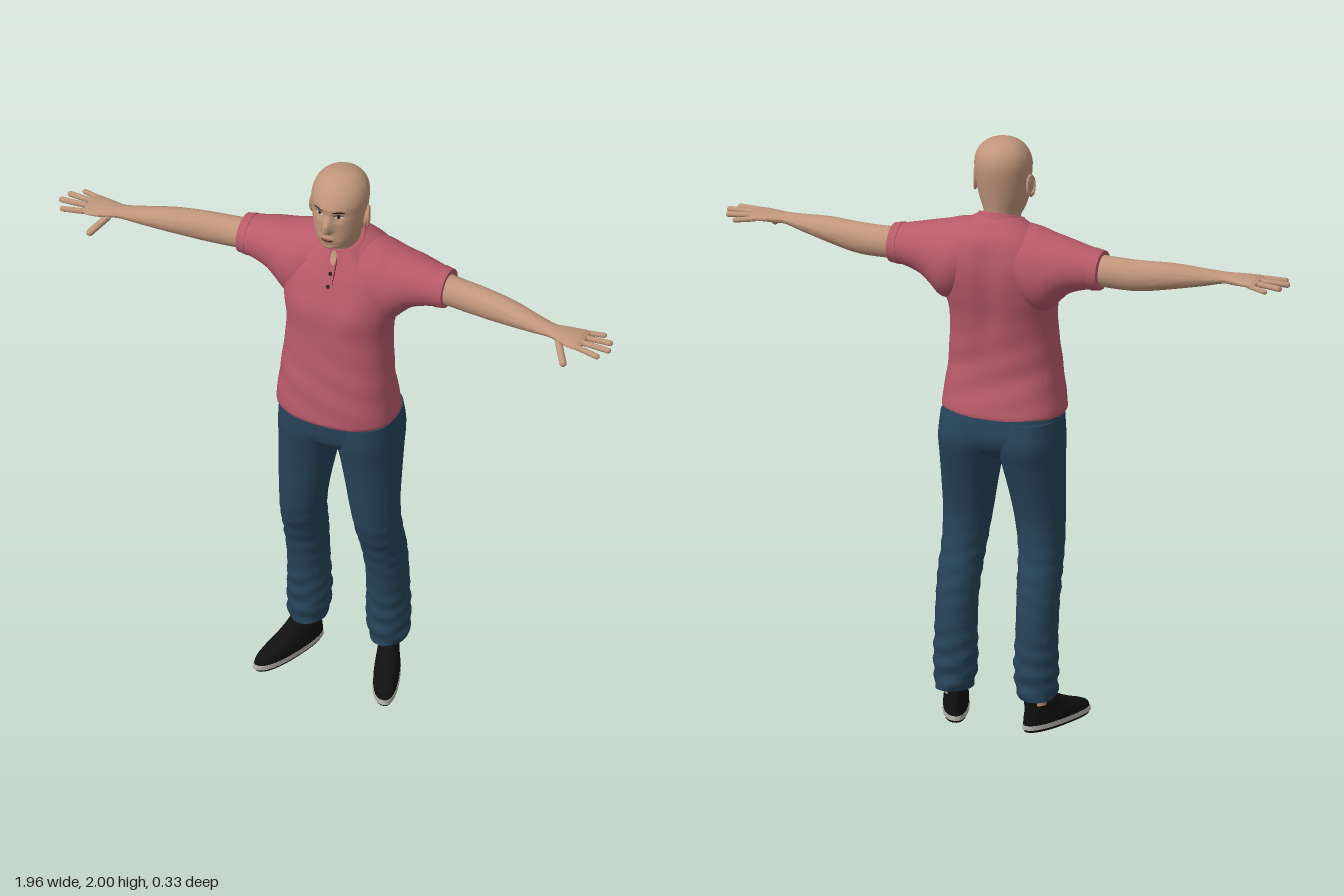
import * as THREE from 'three';
import { toCreasedNormals } from 'three/addons/utils/BufferGeometryUtils.js';

const material = (name, color, side = THREE.FrontSide) => {
  const m = new THREE.MeshStandardMaterial({ color, side });
  m.name = name;
  return m;
};
const skin = material('skin', 0xc0967b);
const shirt = material('shirt red', 0xb85a69, THREE.DoubleSide);
const denim = material('denim blue', 0x27445a);
const black = material('shoe black', 0x111111);
const soleGrey = material('sole grey', 0xb4b2ac);
const eyeWhite = material('eye white', 0xd8d0c8);
const dark = material('dark brown', 0x2b1d18);
const lip = material('lip', 0x9a6257);

const gauss = (v, c, w) => Math.exp(-(((v - c) / w) ** 2));
const smooth = THREE.MathUtils.smoothstep;

function mesh(name, geometry, mat) {
  const m = new THREE.Mesh(geometry, mat);
  m.name = name;
  return m;
}

// Smooth skin over superellipse sections: [position, aMin, aMax, bMin, bMax, exponent].
// Along y: a = x, b = z.  Along x: a = z, b = y.
function loft(rows, { axis = 'y', sides = 40, steps = 4, deform = null } = {}) {
  const at = (i, k) => rows[THREE.MathUtils.clamp(i, 0, rows.length - 1)][k] ?? 2;
  const cr = (p0, p1, p2, p3, t) => p1 + 0.5 * t * (p2 - p0 + t * (2 * p0 - 5 * p1 + 4 * p2 - p3 + t * (3 * (p1 - p2) + p3 - p0)));
  const pos = [], index = [], v = new THREE.Vector3();
  const count = (rows.length - 1) * steps + 1;
  const put = (s, a, b) => {
    axis === 'y' ? v.set(a, s, b) : v.set(s, b, a);
    if (deform) deform(v);
    pos.push(v.x, v.y, v.z);
  };
  const ends = [];
  for (let r = 0; r < count; r++) {
    const i = Math.min(Math.floor(r / steps), rows.length - 2), t = r / steps - i;
    const [s, a0, a1, b0, b1, n] = [0, 1, 2, 3, 4, 5].map(k => cr(at(i - 1, k), at(i, k), at(i + 1, k), at(i + 2, k), t));
    const bend = c => Math.sign(c) * Math.abs(c) ** (2 / n);
    for (let j = 0; j < sides; j++) {
      const q = (j / sides) * Math.PI * 2;
      put(s, (a0 + a1) / 2 + (a1 - a0) / 2 * bend(Math.cos(q)), (b0 + b1) / 2 + (b1 - b0) / 2 * bend(Math.sin(q)));
      const k = r * sides + j, l = r * sides + (j + 1) % sides;
      if (r < count - 1) index.push(k, k + sides, l, l, k + sides, l + sides);
    }
    if (r === 0 || r === count - 1) ends.push([s, (a0 + a1) / 2, (b0 + b1) / 2]);
  }
  ends.forEach(e => put(...e));
  const last = (count - 1) * sides;
  for (let j = 0; j < sides; j++) {
    const l = (j + 1) % sides;
    index.push(count * sides, j, l, count * sides + 1, last + l, last + j);
  }
  const g = new THREE.BufferGeometry();
  g.setAttribute('position', new THREE.Float32BufferAttribute(pos, 3));
  g.setIndex(index);
  return toCreasedNormals(g, 1);
}

// Mirror a mesh across x, keeping faces outward
function mirrored(m, name) {
  m.updateMatrix();
  let g = m.geometry.clone().applyMatrix4(m.matrix).scale(-1, 1, 1);
  if (g.index) g = g.toNonIndexed();
  for (const a of Object.values(g.attributes))
    for (let i = 0; i < a.count; i += 3)
      for (let k = 0; k < a.itemSize; k++) {
        const t = a.getComponent(i, k);
        a.setComponent(i, k, a.getComponent(i + 1, k));
        a.setComponent(i + 1, k, t);
      }
  // applyMatrix4 mirrors positions; normals follow from the same scale
  return mesh(name, toCreasedNormals(g, 1), m.material);
}

// Thin oval laid on the front of another mesh
function patch(name, target, mat, x, y, w, h, { bend = 0, lift = 0.0015 } = {}) {
  const g = new THREE.RingGeometry(0.001, 1, 20, 4), p = g.attributes.position;
  const ray = new THREE.Raycaster();
  for (let i = 0; i < p.count; i++) {
    const px = x + p.getX(i) * w, py = y + p.getY(i) * h - bend * p.getX(i) ** 2;
    ray.set(new THREE.Vector3(px, py, 1), new THREE.Vector3(0, 0, -1));
    const hit = ray.intersectObject(target)[0];
    p.setXYZ(i, px, py, (hit ? hit.point.z : 0) + lift);
  }
  g.computeVertexNormals();
  return mesh(name, g, mat);
}

function capsule(name, a, b, r) {
  const from = new THREE.Vector3(...a), to = new THREE.Vector3(...b), d = to.clone().sub(from);
  const m = mesh(name, new THREE.CapsuleGeometry(r, d.length() - r, 5, 12), skin);
  m.position.copy(from).addScaledVector(d, 0.5);
  m.quaternion.setFromUnitVectors(new THREE.Vector3(0, 1, 0), d.normalize());
  return m;
}

export function createModel() {
  const root = new THREE.Group();
  root.name = 'standing man';
  const sym = rows => rows.map(([y, rx, z0, z1, n = 2]) => [y, -rx, rx, z0, z1, n]);
  const pair = m => {
    const name = m.name;
    m.name = 'left ' + name;
    root.add(m, mirrored(m, 'right ' + name));
  };

  // Head and neck, with nose, brow, eye sockets and lips shaped in
  const head = mesh('head', loft(sym([
    [1.66, 0.06, -0.08, 0.03], [1.72, 0.06, -0.08, 0.045], [1.74, 0.061, -0.08, 0.06], [1.752, 0.064, -0.081, 0.092],
    [1.775, 0.072, -0.083, 0.101], [1.8, 0.08, -0.088, 0.102], [1.84, 0.087, -0.096, 0.102], [1.88, 0.091, -0.103, 0.102],
    [1.92, 0.093, -0.106, 0.098], [1.955, 0.083, -0.098, 0.08], [1.98, 0.062, -0.075, 0.055], [1.993, 0.037, -0.045, 0.028],
    [2, 0.005, -0.01, 0.003]]), { sides: 96, steps: 6, deform: v => {
    if (v.z < 0.02) return;
    const ridge = v.y > 1.832 ? 1 - smooth(v.y, 1.832, 1.9) : smooth(v.y, 1.814, 1.832);
    v.z += 0.03 * ridge * gauss(v.x, 0, 0.014)
      - 0.011 * gauss(Math.abs(v.x), 0.034, 0.018) * gauss(v.y, 1.882, 0.014)
      + 0.004 * gauss(v.y, 1.908, 0.012) * gauss(v.x, 0, 0.06)
      + 0.006 * gauss(v.x, 0, 0.024) * gauss(v.y, 1.79, 0.012)
      + 0.005 * gauss(v.x, 0, 0.025) * gauss(v.y, 1.757, 0.01);
  } }), skin);
  root.add(head);
  for (const [s, side] of [[1, 'left'], [-1, 'right']]) {
    root.add(patch(side + ' eye', head, eyeWhite, s * 0.034, 1.882, 0.014, 0.006),
      patch(side + ' iris', head, dark, s * 0.034, 1.882, 0.0058, 0.0058, { lift: 0.003 }),
      patch(side + ' upper lid', head, dark, s * 0.034, 1.889, 0.016, 0.0018, { bend: 0.004, lift: 0.0025 }),
      patch(side + ' eyebrow', head, dark, s * 0.036, 1.905, 0.02, 0.003, { bend: 0.004 }),
      patch(side + ' nostril', head, dark, s * 0.008, 1.819, 0.004, 0.002));
  }
  root.add(patch('lips', head, lip, 0, 1.79, 0.024, 0.0075),
    patch('mouth line', head, dark, 0, 1.791, 0.023, 0.0016, { lift: 0.003 }));

  // Ears: shell and rim
  const ear = mesh('ear', new THREE.SphereGeometry(1, 20, 14), skin);
  ear.scale.set(0.009, 0.034, 0.018);
  ear.position.set(0.092, 1.843, -0.004);
  ear.rotation.set(-0.2, 0.25, -0.1);
  pair(ear);
  const rim = mesh('ear rim', new THREE.TorusGeometry(0.022, 0.005, 8, 24), skin);
  rim.scale.set(0.8, 1.5, 1);
  rim.rotation.set(0, Math.PI / 2 + 0.3, -0.1);
  rim.position.set(0.097, 1.845, -0.006);
  pair(rim);

  // Shirt body with spine groove, chest and soft folds
  const torso = mesh('shirt body', loft(sym([
    [1.07, 0.203, -0.142, 0.158, 2.4], [1.09, 0.205, -0.14, 0.16, 2.4], [1.2, 0.191, -0.118, 0.152, 2.4],
    [1.3, 0.181, -0.12, 0.141, 2.4], [1.4, 0.176, -0.136, 0.133, 2.4], [1.48, 0.19, -0.155, 0.127, 2.4],
    [1.55, 0.2, -0.167, 0.11, 2.4], [1.61, 0.2, -0.168, 0.089, 2.4], [1.66, 0.175, -0.153, 0.07, 2.3],
    [1.7, 0.13, -0.118, 0.056, 2.2], [1.735, 0.076, -0.088, 0.045, 2]]), { sides: 72, steps: 6, deform: v => {
    if (v.z < 0) v.z += 0.014 * gauss(v.x, 0, 0.035) * smooth(v.y, 1.25, 1.45) * (1 - smooth(v.y, 1.6, 1.7));
    else v.z += 0.008 * gauss(Math.abs(v.x), 0.085, 0.05) * gauss(v.y, 1.5, 0.06);
    v.z += 0.0025 * Math.sin(v.y * 55 + v.x * 22) * (1 - smooth(v.y, 1.2, 1.45)) * smooth(v.y, 1.07, 1.13);
    v.y -= (v.z + 0.02) * 0.35 * smooth(v.y, 1.6, 1.735);
  } }), shirt);
  root.add(torso);

  // Short sleeves and their hem bands
  pair(mesh('sleeve', loft([
    [0.07, -0.15, 0.06, 1.5, 1.728], [0.13, -0.163, 0.075, 1.45, 1.72], [0.18, -0.158, 0.068, 1.445, 1.706],
    [0.215, -0.148, 0.057, 1.478, 1.698], [0.25, -0.14, 0.045, 1.51, 1.69], [0.3, -0.127, 0.031, 1.53, 1.678],
    [0.35, -0.115, 0.02, 1.54, 1.667], [0.362, -0.113, 0.017, 1.541, 1.663]], { axis: 'x' }), shirt));
  pair(mesh('sleeve hem', loft([[0.335, -0.121, 0.025, 1.534, 1.673], [0.365, -0.116, 0.02, 1.538, 1.667]],
    { axis: 'x', steps: 1 }), shirt));

  // Folded collar: stand, fold and pointed flaps round the neck
  const pts = [], idx = [], N = 40;
  for (let i = 0; i <= N; i++) {
    const a = 0.15 + (Math.PI * 2 - 0.3) * i / N, c = Math.cos(a), s = Math.sin(a);
    const tip = smooth(c, 0.65, 0.95);
    pts.push(0.07 * s, 1.72 - 0.025 * c, -0.018 + 0.068 * c,
      0.073 * s, 1.738 - 0.03 * c, -0.018 + 0.073 * c,
      (0.1 + 0.1 * tip) * s, 1.706 - 0.02 * c - 0.028 * tip, -0.022 + (0.09 + 0.012 * tip) * c);
    if (i < N) for (const k of [0, 1]) {
      const p = i * 3 + k;
      idx.push(p, p + 1, p + 3, p + 3, p + 1, p + 4);
    }
  }
  const collar = new THREE.BufferGeometry();
  collar.setAttribute('position', new THREE.Float32BufferAttribute(pts, 3));
  collar.setIndex(idx);
  root.add(mesh('collar', toCreasedNormals(collar, 0.8), shirt));

  // Neck opening and buttons
  root.add(patch('neck opening', torso, skin, 0, 1.685, 0.011, 0.024),
    patch('placket seam', torso, dark, 0.013, 1.645, 0.0013, 0.045),
    ...[1.635, 1.595].map(y => patch('button', torso, dark, 0, y, 0.0065, 0.0065, { lift: 0.003 })));

  // Bare arms, palms and fingers
  pair(mesh('arm', loft([
    [0.32, -0.1, 0.005, 1.552, 1.655], [0.42, -0.088, 0.005, 1.545, 1.65], [0.5, -0.078, 0.012, 1.546, 1.648],
    [0.6, -0.056, 0.03, 1.56, 1.645], [0.7, -0.026, 0.044, 1.577, 1.633], [0.765, -0.008, 0.054, 1.59, 1.625],
    [0.8, -0.014, 0.066, 1.59, 1.624], [0.84, -0.022, 0.08, 1.592, 1.621], [0.872, -0.026, 0.083, 1.594, 1.619],
    [0.884, -0.012, 0.07, 1.6, 1.614]], { axis: 'x', sides: 32 }), skin));
  [['little finger', [0.86, 1.604, -0.015], [0.928, 1.598, -0.036], 0.0085],
    ['ring finger', [0.865, 1.606, 0.012], [0.965, 1.602, 0.0], 0.0095],
    ['middle finger', [0.865, 1.607, 0.04], [0.977, 1.604, 0.042], 0.0098],
    ['index finger', [0.865, 1.606, 0.068], [0.955, 1.602, 0.084], 0.0095],
    ['thumb', [0.8, 1.6, 0.055], [0.845, 1.555, 0.113], 0.012]].forEach(f => pair(capsule(...f)));

  // Trousers: hips, then a leg with creases at knee and cuff
  root.add(mesh('trouser hips', loft(sym([
    [0.915, 0.06, -0.07, 0.05], [0.935, 0.13, -0.11, 0.09, 2.2], [0.97, 0.185, -0.14, 0.12, 2.4],
    [1.02, 0.202, -0.15, 0.128, 2.5], [1.1, 0.193, -0.135, 0.13, 2.5]])), denim));
  pair(mesh('trouser leg', loft([
    [0.115, 0.086, 0.206, -0.142, 0.004], [0.15, 0.074, 0.21, -0.142, 0.008], [0.22, 0.07, 0.211, -0.143, 0.008, 2.2],
    [0.3, 0.073, 0.208, -0.142, 0.012, 2.2], [0.4, 0.074, 0.207, -0.135, 0.022, 2.2], [0.5, 0.069, 0.208, -0.117, 0.045, 2.2],
    [0.6, 0.062, 0.205, -0.092, 0.082, 2.2], [0.7, 0.047, 0.204, -0.086, 0.097, 2.2], [0.8, 0.03, 0.205, -0.105, 0.105, 2.2],
    [0.9, 0.01, 0.206, -0.132, 0.115, 2.2], [0.98, -0.005, 0.206, -0.153, 0.126, 2.3], [1.06, 0.0, 0.2, -0.14, 0.125, 2.3]],
  { steps: 8, deform: v => {
    const fold = 0.004 * (1 - smooth(v.y, 0.18, 0.4)) + 0.0025 * gauss(v.y, 0.52, 0.1);
    v.x += fold * Math.sin(v.y * 110 + v.z * 25);
    v.z += fold * Math.sin(v.y * 95 + v.x * 30);
  } }), denim));

  // Shoes turned outward, in sole layers and an upper, with the ankle above
  const splay = v => { v.x += 0.147 + (v.z + 0.06) * 0.34; };
  const shoe = (name, rows, mat, steps) => pair(mesh(name, loft(sym(rows), { steps, deform: splay }), mat));
  shoe('shoe tread', [[0, 0.041, -0.112, 0.158, 2.4], [0.009, 0.045, -0.117, 0.163, 2.4]], black, 1);
  shoe('shoe midsole', [[0.009, 0.046, -0.119, 0.165, 2.4], [0.024, 0.045, -0.118, 0.163, 2.4]], soleGrey, 1);
  shoe('shoe upper', [[0.022, 0.044, -0.117, 0.16, 2.4], [0.04, 0.044, -0.117, 0.153, 2.3], [0.056, 0.042, -0.116, 0.125, 2.2],
    [0.075, 0.039, -0.115, 0.075], [0.098, 0.036, -0.115, 0.025], [0.118, 0.034, -0.112, -0.005]], black, 4);
  const ankle = mesh('ankle', new THREE.CylinderGeometry(0.034, 0.031, 0.1, 20), skin);
  ankle.position.set(0.146, 0.14, -0.07);
  pair(ankle);

  return root;
}
